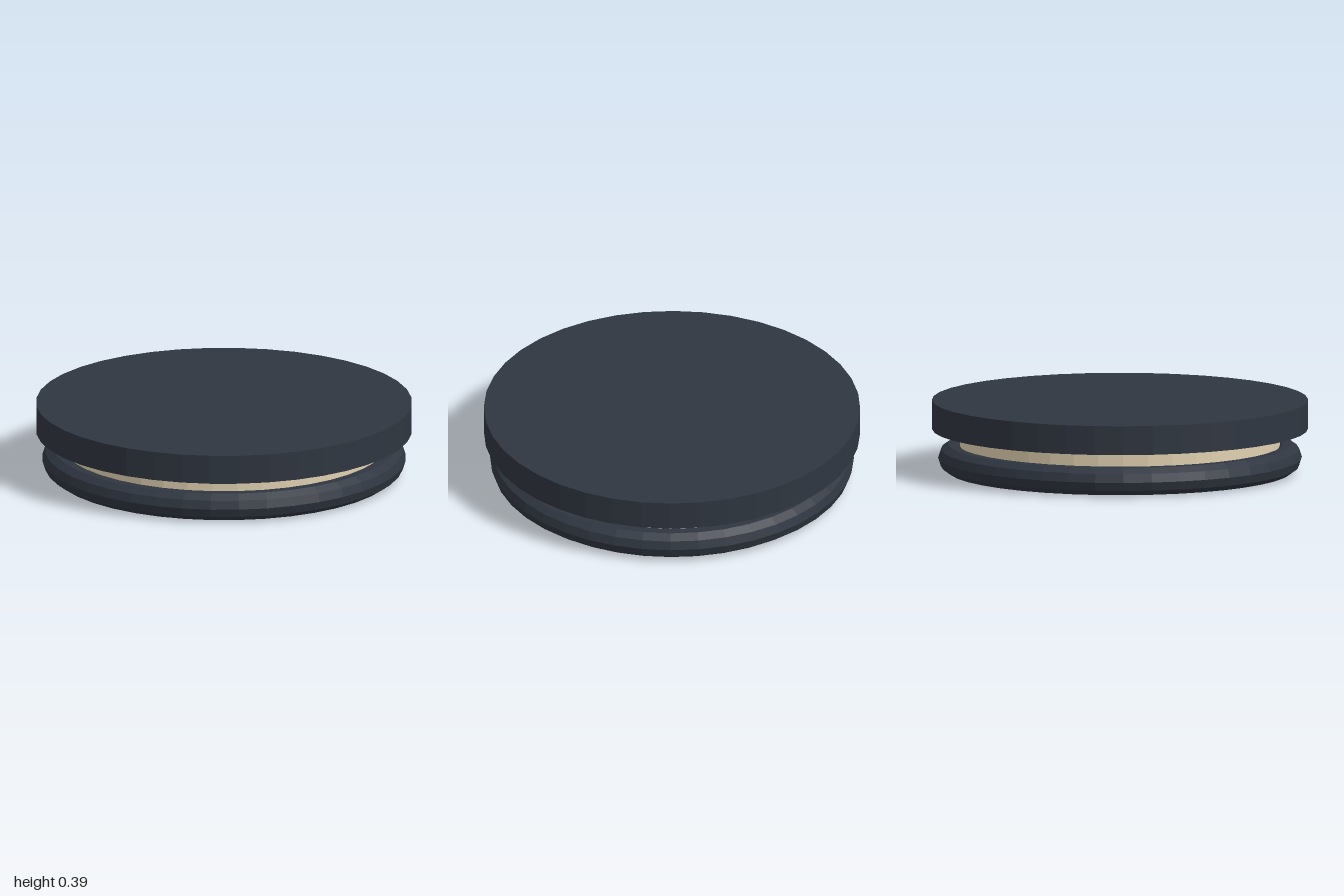
import * as THREE from 'three';

const SIDES = 40;

export function createModel() {
  const group = new THREE.Group();
  const dark = new THREE.MeshStandardMaterial({ color: 0x2f3640, flatShading: true });
  const cream = new THREE.MeshStandardMaterial({ color: 0xe0d0b0, flatShading: true });

  const add = (name, geometry, material, y) => {
    const mesh = new THREE.Mesh(geometry, material);
    mesh.name = name;
    mesh.position.y = y;
    group.add(mesh);
  };

  // Wide flat disc on top
  add('topDisc', new THREE.CylinderGeometry(1, 1, 0.155, SIDES), dark, 0.3125);

  // Pale core, reaching just below the ring
  add('core', new THREE.CylinderGeometry(0.85, 0.85, 0.25, SIDES), cream, 0.125);

  // Ring wrapped round the foot of the core
  const ring = new THREE.TorusGeometry(0.89, 0.077, 10, SIDES).rotateX(Math.PI / 2);
  add('baseRing', ring, dark, 0.081);

  return group;
}
